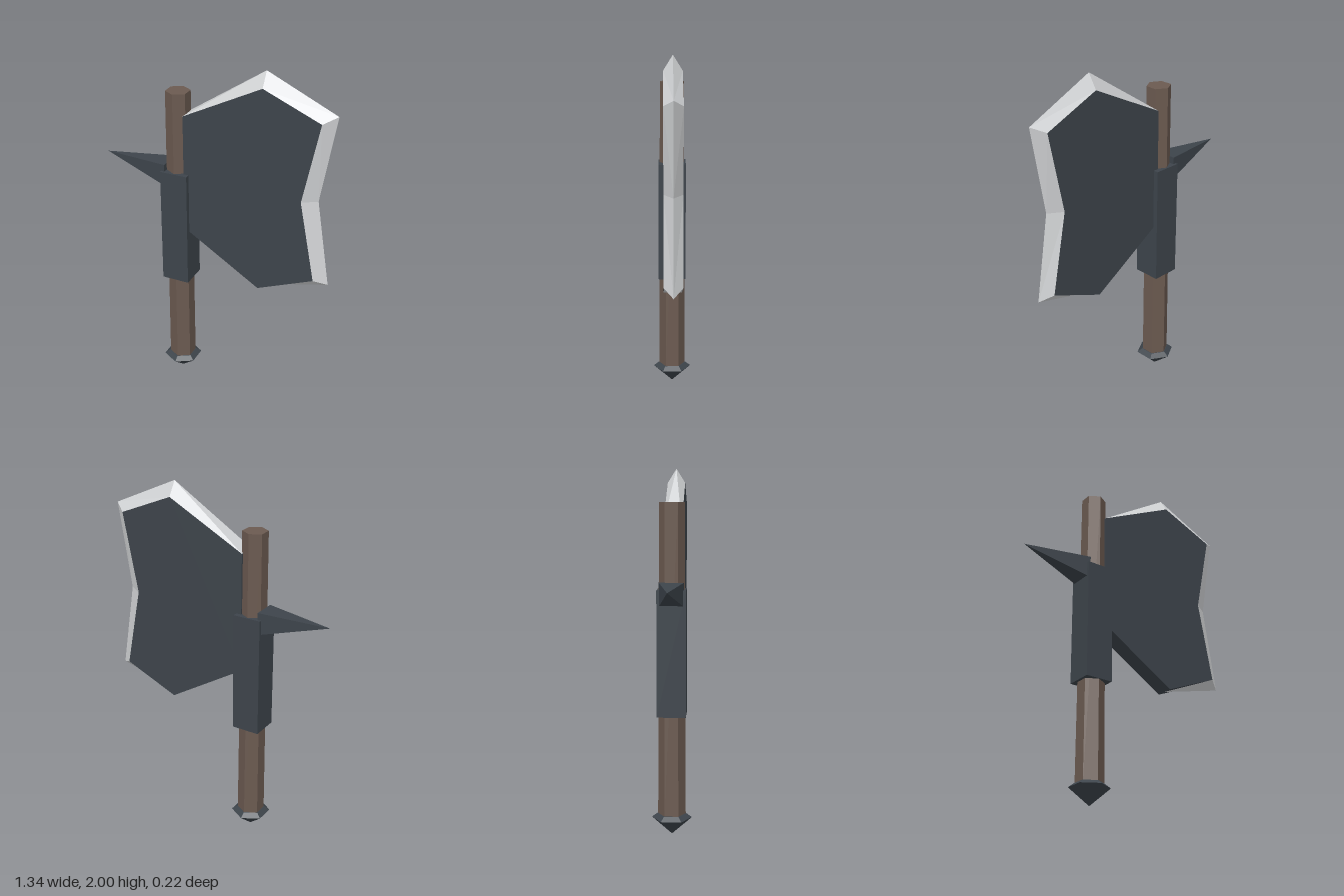
import * as THREE from 'three';

const steel = new THREE.MeshStandardMaterial({ color: 0x3d444b, flatShading: true });
steel.name = 'dark steel';
const wood = new THREE.MeshStandardMaterial({ color: 0x6b5a50, flatShading: true });
wood.name = 'brown wood';
const silver = new THREE.MeshStandardMaterial({ color: 0xd2d4d6, flatShading: true });
silver.name = 'sharpened silver';

const HAFT_X = -0.22;
const HALF = 0.05; // half thickness of the blade

// Flat triangles from a list of corner triples
function facets(triangles) {
  const geo = new THREE.BufferGeometry();
  geo.setAttribute('position', new THREE.Float32BufferAttribute(triangles.flat(2), 3));
  geo.computeVertexNormals();
  return geo;
}

// Blade outline on the flat cheeks, and the matching sharp rim at z = 0
const cheek = [[-0.17, 1.69], [0.28, 1.92], [0.6, 1.785], [0.51, 1.33], [0.6, 0.87], [0.28, 0.735]];
const rim = [[-0.17, 1.69], [0.28, 2.0], [0.67, 1.82], [0.59, 1.33], [0.67, 0.835], [0.28, 0.735]];

function bladeBody() {
  const outline = [...cheek, [-0.17, 1.015]].map(([x, y]) => new THREE.Vector2(x, y));
  const geo = new THREE.ExtrudeGeometry(new THREE.Shape(outline), { depth: 2 * HALF, bevelEnabled: false });
  return geo.translate(0, 0, -HALF);
}

function bladeEdge() {
  const tris = [];
  for (let i = 0; i < cheek.length - 1; i++) {
    for (const z of [HALF, -HALF]) {
      const a = [...cheek[i], z], b = [...cheek[i + 1], z];
      const c = [...rim[i + 1], 0], d = [...rim[i], 0];
      if (z > 0) tris.push([a, b, c], [a, c, d]);
      else tris.push([a, c, b], [a, d, c]);
    }
  }
  return facets(tris);
}

// Four-sided back spike, its base set against the haft
function spikeGeometry() {
  const x = -0.28, z = 0.066, tip = [-0.67, 1.37, 0];
  const base = [[x, 1.39, z], [x, 1.39, -z], [x, 1.263, -z], [x, 1.263, z]];
  const tris = base.map((p, i) => [p, base[(i + 1) % 4], tip]);
  tris.push([base[0], base[2], base[1]], [base[0], base[3], base[2]]);
  return facets(tris);
}

export function createModel() {
  const group = new THREE.Group();
  group.name = 'battleAxe';
  const add = (name, geo, mat, x = 0, y = 0) => {
    const mesh = new THREE.Mesh(geo, mat);
    mesh.name = name;
    mesh.position.set(x, y, 0);
    group.add(mesh);
  };

  // Six-sided tapering haft
  add('haft', new THREE.CylinderGeometry(0.068, 0.076, 1.71, 6), wood, HAFT_X, 0.955);

  // Pommel: short sloped cap over a downward point
  add('pommelCap', new THREE.CylinderGeometry(0.08, 0.11, 0.022, 6), steel, HAFT_X, 0.106);
  add('pommelPoint', new THREE.CylinderGeometry(0.11, 0, 0.095, 6), steel, HAFT_X, 0.0475);

  // Square collar gripping the haft
  add('collar', new THREE.BoxGeometry(0.16, 0.68, 0.156), steel, HAFT_X, 1.01);

  add('backSpike', spikeGeometry(), steel);
  add('bladeBody', bladeBody(), steel);
  add('bladeEdge', bladeEdge(), silver);
  return group;
}
